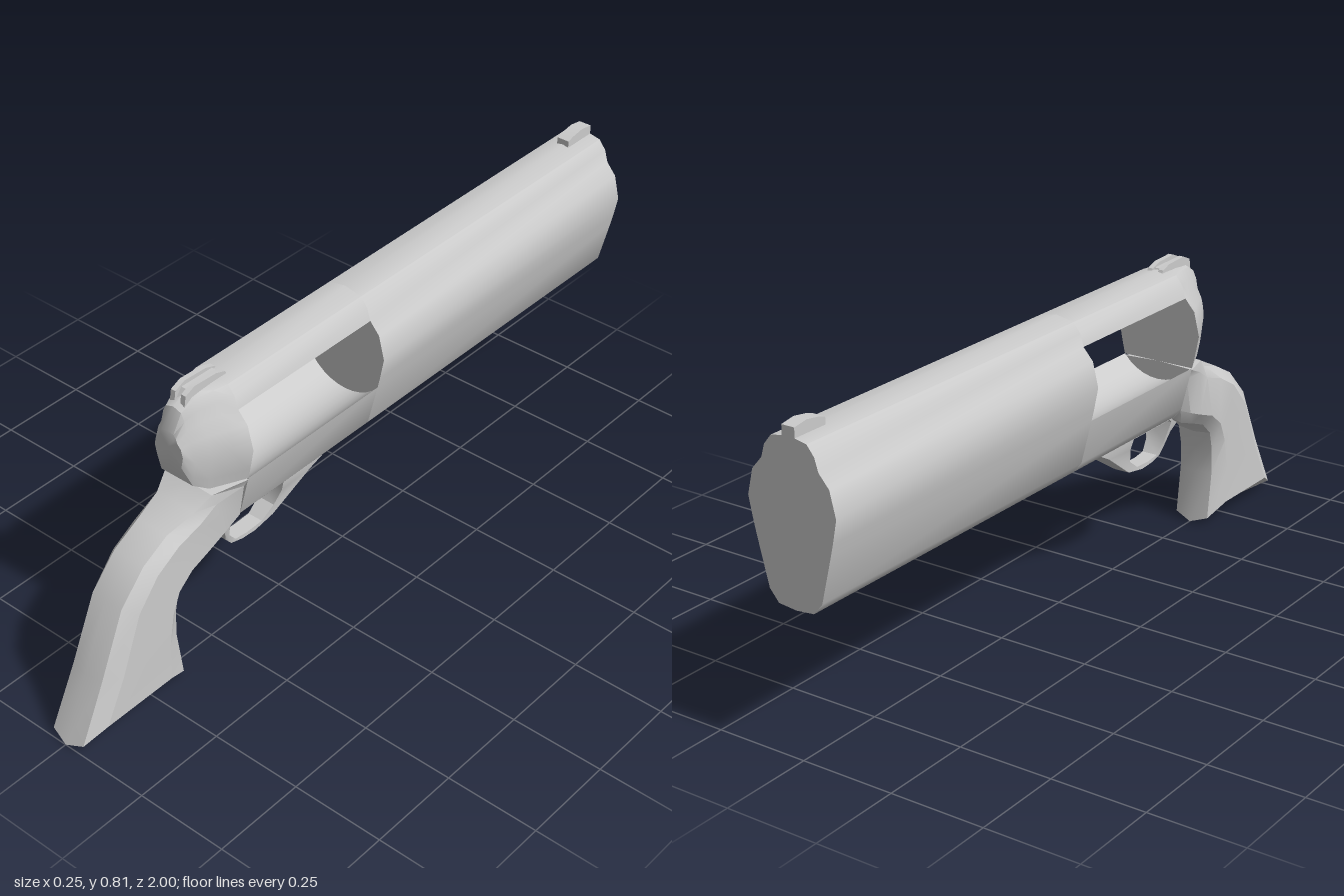
import * as THREE from 'three';
import { toCreasedNormals } from 'three/addons/utils/BufferGeometryUtils.js';

const material = new THREE.MeshStandardMaterial({ color: 0xcccccc, side: THREE.DoubleSide });
const lerp = THREE.MathUtils.lerp;

// Half outline of the barrel and frame (x, y), from top to bottom
const UPPER = [[0, 0.785], [0.05, 0.775], [0.07, 0.75], [0.08, 0.717]];
const MIDDLE = [[0.108, 0.685], [0.124, 0.62], [0.112, 0.56], [0.105, 0.53]];
const LOWER = [[0.075, 0.41], [0.05, 0.38], [0, 0.375]];

// Circular opening for the cylinder
const BORE_Y = 0.612, BORE_R = 0.133;

// Closes a half outline with its mirror image in x = 0
function mirrored(half) {
  const back = half.slice().reverse().filter(p => p[0] > 1e-6);
  return [...half, ...back.map(([x, ...rest]) => [-x, ...rest])];
}

// Points along the bore from a given edge point to the centre line
function boreArc(x, y, centreAngle) {
  const start = Math.atan2(y - BORE_Y, x);
  return [1, 2, 3, 4, 5].map(i => {
    const a = lerp(start, centreAngle, i / 5);
    return [i === 5 ? 0 : Math.cos(a) * BORE_R, BORE_Y + Math.sin(a) * BORE_R];
  });
}

function shapeOf(points) {
  return new THREE.Shape(points.map(([a, b]) => new THREE.Vector2(a, b)));
}

function extrudeZ(half, z0, z1) {
  const g = new THREE.ExtrudeGeometry(shapeOf(mirrored(half)), { depth: z1 - z0, bevelEnabled: false });
  return g.translate(0, 0, z0);
}

// Side profile given as (z, y), extruded across x
function extrudeX(shape, width, x = 0) {
  const g = new THREE.ExtrudeGeometry(shape, { depth: width, bevelEnabled: false });
  return g.translate(0, 0, -width / 2).rotateY(-Math.PI / 2).translate(x, 0, 0);
}

// Skin over mirrored half rings, with fan caps
function loft(halves) {
  const rings = halves.map(mirrored), n = rings[0].length, m = halves[0].length;
  const pos = rings.flat(2), idx = [];
  for (let r = 0; r < rings.length - 1; r++)
    for (let i = 0; i < n; i++) {
      const a = r * n + i, b = r * n + (i + 1) % n;
      idx.push(a, a + n, b, b, a + n, b + n);
    }
  [0, rings.length - 1].forEach((r, end) => {
    const centre = pos.length / 3;
    for (let k = 0; k < 3; k++) pos.push((rings[r][0][k] + rings[r][m - 1][k]) / 2);
    for (let i = 0; i < n; i++) {
      const a = r * n + i, b = r * n + (i + 1) % n;
      idx.push(centre, end ? b : a, end ? a : b);
    }
  });
  const g = new THREE.BufferGeometry();
  g.setAttribute('position', new THREE.Float32BufferAttribute(pos, 3));
  g.setIndex(idx);
  return g;
}

export function createModel() {
  const model = new THREE.Group();
  const add = (name, geometry, crease = 0.55) => {
    geometry.deleteAttribute('uv');
    const mesh = new THREE.Mesh(toCreasedNormals(geometry, crease), material);
    mesh.name = name;
    model.add(mesh);
  };

  // Solid barrel, then the strap and trough framing the open window
  add('barrel', extrudeZ([...UPPER, ...MIDDLE, ...LOWER], -1, -0.01));
  add('topStrap', extrudeZ([...UPPER, ...boreArc(0.08, 0.717, Math.PI / 2)], -0.01, 0.46));
  add('lowerFrame', extrudeZ(
    [...boreArc(0.105, 0.53, -Math.PI / 2).reverse(), [0.105, 0.53], ...LOWER], -0.01, 0.46));

  // Rounded shield behind the window: z, width scale, height scale
  const shieldHalf = [...UPPER, ...MIDDLE, [0, 0.53]];
  const shield = [[0.46, 1, 1], [0.5, 0.82, 1], [0.55, 0.62, 0.98], [0.588, 0.48, 0.8], [0.61, 0.36, 0.35]];
  add('recoilShield', loft(shield.map(([z, sx, sy]) =>
    shieldHalf.map(([x, y]) => [x * sx, 0.66 + (y - 0.66) * sy, z]))), 0.6);

  // Grip sections: back z, y; front z, y; back edge and side half widths
  const sections = [
    [0.46, 0.53, 0.46, 0.372, 0.105, 0.09],
    [0.555, 0.525, 0.5, 0.346, 0.075, 0.08],
    [0.6, 0.492, 0.555, 0.328, 0.06, 0.075],
    [0.68, 0.467, 0.613, 0.306, 0.047, 0.073],
    [0.76, 0.425, 0.65, 0.27, 0.047, 0.073],
    [0.84, 0.344, 0.66, 0.22, 0.047, 0.073],
    [0.92, 0.172, 0.66, 0.15, 0.048, 0.074],
    [1, 0.003, 0.64, 0.003, 0.05, 0.074],
  ];
  const along = [0, 0.03, 0.2, 0.8, 0.97, 1];
  const keel = [0, 0.017, 0.052, 0.052, 0.017, 0];
  add('grip', loft(sections.map(([bz, by, fz, fy, wb, ws], s) => {
    const widths = [0, wb, ws, 0.073, 0.05, 0];
    const butt = s === sections.length - 1;
    return along.map((t, i) => [widths[i], lerp(by, fy, t) + (butt ? keel[i] : 0), lerp(bz, fz, t)]);
  })), 0.5);

  // Trigger guard, flaring where its front meets the frame
  const guard = shapeOf([[0.5, 0.36], [0.473, 0.333], [0.462, 0.3], [0.44, 0.274], [0.4, 0.264], [0.355, 0.261],
    [0.29, 0.272], [0.22, 0.317], [0.17, 0.352], [0.12, 0.378], [0.3, 0.39], [0.48, 0.39]]);
  guard.holes.push(new THREE.Path([[0.462, 0.365], [0.452, 0.31], [0.425, 0.278], [0.385, 0.273], [0.33, 0.275],
    [0.29, 0.303], [0.272, 0.345], [0.275, 0.376], [0.45, 0.376]].map(p => new THREE.Vector2(...p))));
  const guardGeometry = extrudeX(guard, 0.044);
  const p = guardGeometry.attributes.position;
  for (let i = 0; i < p.count; i++) {
    const flare = THREE.MathUtils.clamp((p.getY(i) - 0.29) / 0.085, 0, 1);
    p.setX(i, p.getX(i) * (1 + flare * 1.1));
  }
  guardGeometry.computeVertexNormals();
  add('triggerGuard', guardGeometry);

  // Front sight blade
  add('frontSight', extrudeX(shapeOf([[-1, 0.77], [-0.9, 0.77], [-0.9, 0.8], [-0.92, 0.806],
    [-0.96, 0.812], [-1, 0.806]]), 0.036));

  // Rear sight: two rails with a notch between
  const rail = shapeOf([[0.43, 0.77], [0.44, 0.788], [0.47, 0.798], [0.54, 0.801], [0.57, 0.788], [0.575, 0.76]]);
  for (const side of [-1, 1]) add('rearSightRail', extrudeX(rail, 0.014, side * 0.016));
  add('rearSightNotch', extrudeX(shapeOf([[0.44, 0.77], [0.45, 0.788], [0.55, 0.79], [0.575, 0.76]]), 0.02));

  return model;
}
